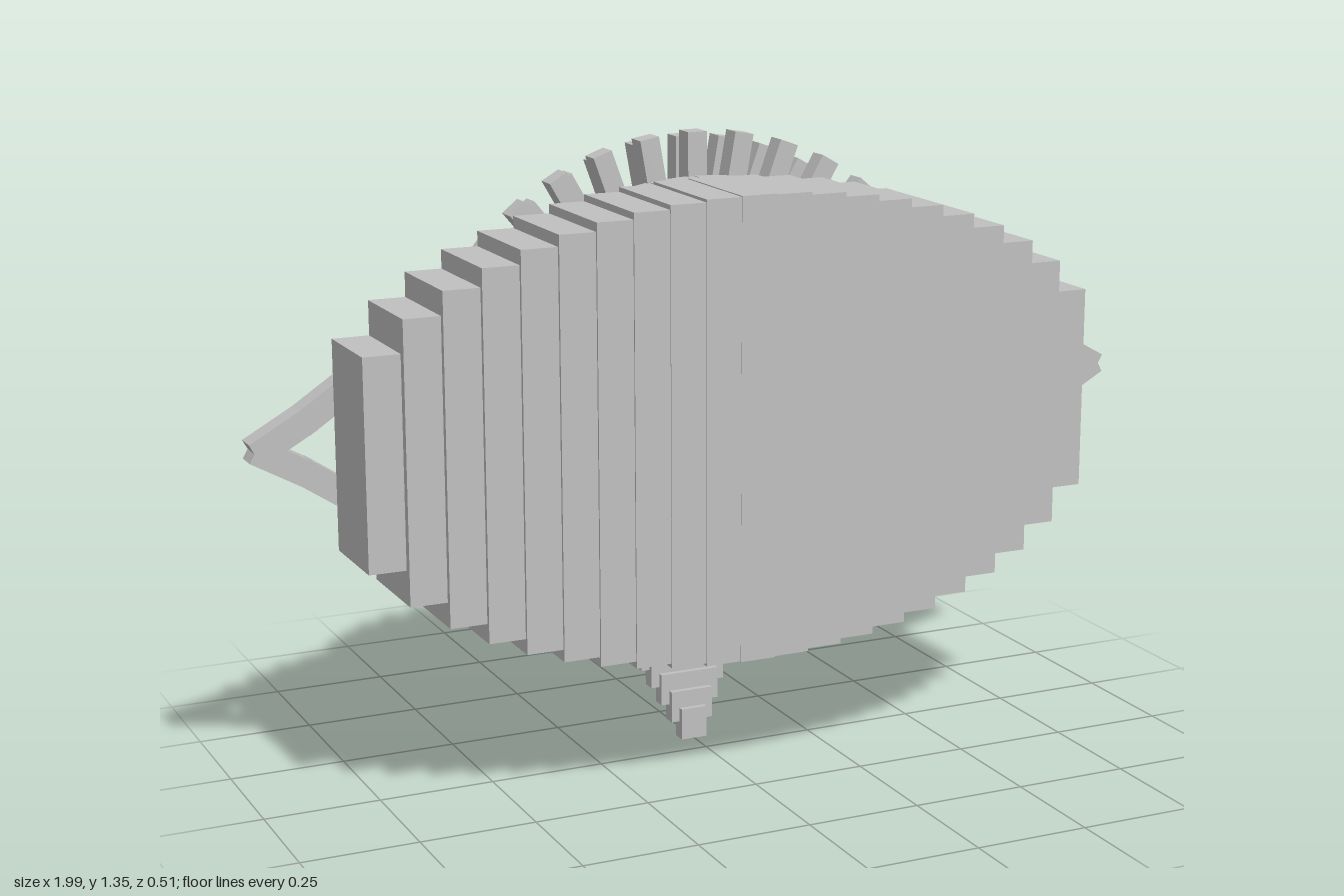
import * as THREE from 'three';

const CY = 0.77; // height of the eye centre

export function createModel() {
  const root = new THREE.Group();
  const grey = new THREE.MeshStandardMaterial({ color: 0xc0c0c0 });
  grey.name = 'stone grey';

  const group = (name) => {
    const g = new THREE.Group();
    g.name = name;
    root.add(g);
    return g;
  };
  const box = (parent, name, [w, h, d], [x, y, z], turn = 0) => {
    const m = new THREE.Mesh(new THREE.BoxGeometry(w, h, d), grey);
    m.name = name;
    m.position.set(x, y, z);
    m.rotation.z = turn;
    parent.add(m);
    return m;
  };

  // Domed body: a row of upright slabs following an ellipse
  const body = group('body');
  for (let i = -10; i <= 10; i++) {
    const x = i * 0.078;
    const r = Math.sqrt(1 - (x / 0.872) ** 2);
    const front = 0.137 + 0.12 * r;
    box(body, 'bodySlab', [0.08, 0.98 * r, front + 0.003], [x, CY, (front - 0.003) / 2]);
  }

  // Almond lids: short bars laid end to end, above and below
  const lids = group('eyelids');
  const SEG = 20;
  const lidPoint = (i, side) => {
    const t = i / SEG;
    const rise = Math.pow(Math.max(0, Math.sin(Math.PI * t)), 1.15);
    return new THREE.Vector2(-0.975 + 1.95 * t, CY + side * 0.46 * rise);
  };
  for (const side of [1, -1]) {
    for (let i = 0; i < SEG; i++) {
      const a = lidPoint(i, side), b = lidPoint(i + 1, side);
      box(lids, side > 0 ? 'upperLidBar' : 'lowerLidBar', [a.distanceTo(b) + 0.02, 0.055, 0.05],
        [(a.x + b.x) / 2, (a.y + b.y) / 2, -0.028], Math.atan2(b.y - a.y, b.x - a.x));
    }
  }

  // Rings of radial bars; rx and ry are the tip radii
  const ring = (name, count, rx, ry, length, width, depth, z) => {
    const g = group(name);
    for (let i = 0; i < count; i++) {
      const a = (i / count) * Math.PI * 2;
      box(g, name + 'Bar', [length, width, depth],
        [(rx - length / 2) * Math.cos(a), CY + (ry - length / 2) * Math.sin(a), z], a);
    }
  };
  ring('outerLashes', 36, 0.63, 0.58, 0.14, 0.043, 0.046, -0.065);
  ring('middleRays', 36, 0.57, 0.565, 0.17, 0.05, 0.045, -0.118);
  ring('irisRays', 48, 0.45, 0.45, 0.35, 0.031, 0.03, -0.181);

  // Square pupil and its small floating glint
  box(root, 'pupil', [0.38, 0.38, 0.03], [0, CY, -0.211]);
  box(root, 'glint', [0.028, 0.03, 0.009], [0, CY, -0.2525]);

  // Stepped tear tapering to the foot
  const tear = group('tear');
  for (let i = 0; i < 9; i++) {
    box(tear, 'tearStep', [0.06 + i * 0.038, 0.07, 0.032], [0, 0.035 + i * 0.039, -0.078 - i * 0.0118]);
  }
  return root;
}
